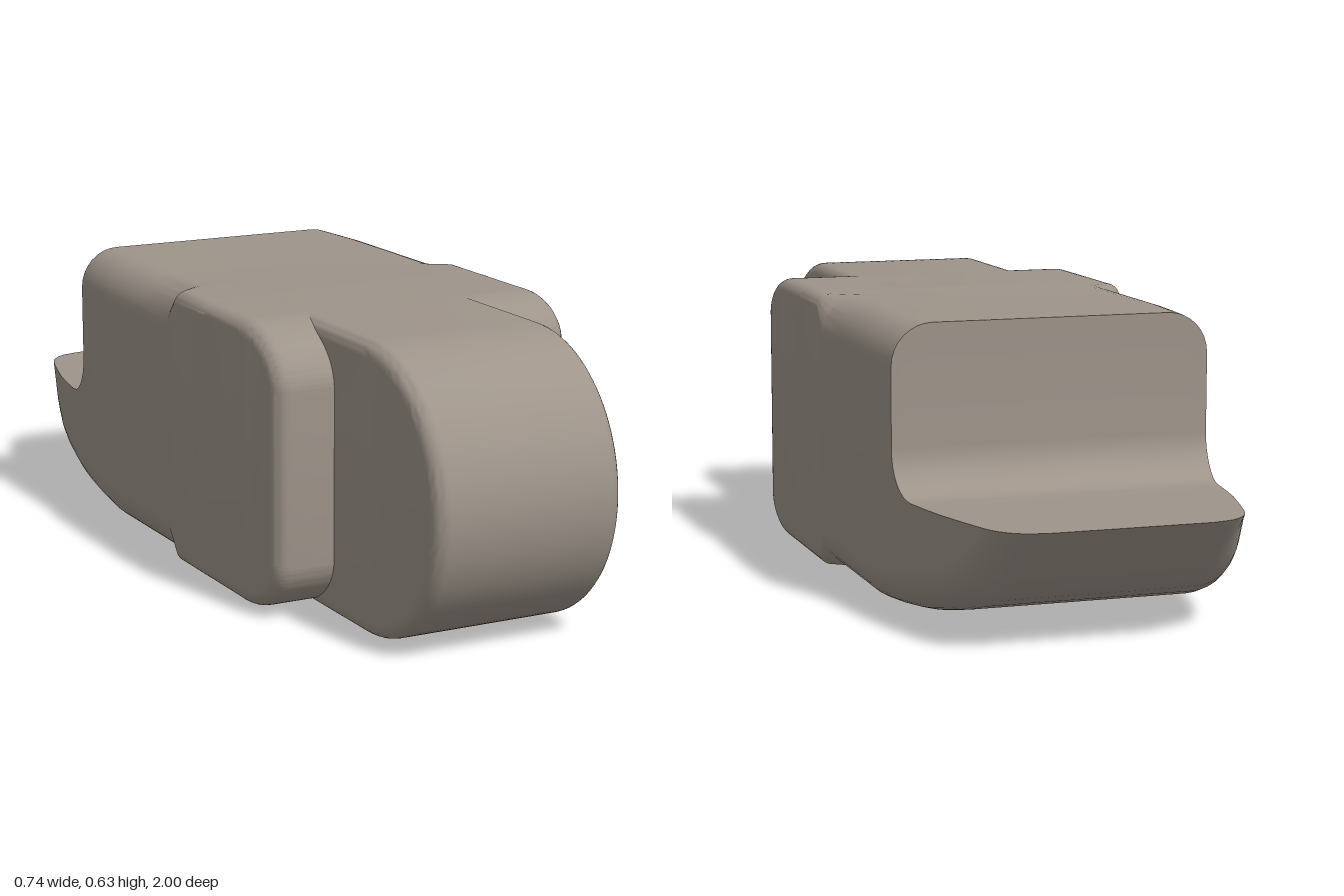
import * as THREE from 'three';
import { toCreasedNormals } from 'three/addons/utils/BufferGeometryUtils.js';

const H = 0.634, HALF_W = 0.372;
const material = new THREE.MeshStandardMaterial({ color: 0x9e948a, side: THREE.DoubleSide });

// Piecewise linear lookup in [z, value] pairs, z descending
function lookup(table, z) {
  if (z >= table[0][0]) return table[0][1];
  for (let i = 1; i < table.length; i++) {
    const [z0, v0] = table[i - 1], [z1, v1] = table[i];
    if (z >= z1) return v0 + (v1 - v0) * (z - z0) / (z1 - z0);
  }
  return table[table.length - 1][1];
}
const KEEL = [[-0.34, 0], [-0.42, 0.006], [-0.5, 0.014], [-0.6, 0.029], [-0.7, 0.051],
  [-0.76, 0.07], [-0.81, 0.092], [-0.845, 0.115], [-1, 0.268]];
const WIDTH = [[-0.36, HALF_W], [-0.45, 0.366], [-0.55, 0.357], [-0.65, 0.344], [-0.75, 0.327],
  [-0.85, 0.301], [-0.92, 0.281], [-1, 0.27]];

// Rounded cross-section, cut off flat at height top
function section(z, top, r) {
  const w = lookup(WIDTH, z), b = lookup(KEEL, z), steps = 8, ring = [];
  const gap = Math.min(1, Math.max(0, (top - b) / r));
  const xMax = w - r + r * Math.sqrt(Math.max(0, 1 - (1 - gap) ** 2));
  const corners = [[w - r, b + r, -0.5], [w - r, H - r, 0], [r - w, H - r, 0.5], [r - w, b + r, 1]];
  for (const [cx, cy, start] of corners) {
    for (let k = 0; k <= steps; k++) {
      const a = (start + 0.5 * k / steps) * Math.PI;
      let x = cx + r * Math.cos(a), y = cy + r * Math.sin(a);
      if (y > top) {
        y = top;
        x = Math.sign(x) * Math.min(Math.abs(x), xMax);
      }
      ring.push([x, y, z]);
    }
  }
  return ring;
}

function loft(rings) {
  const n = rings[0].length, index = [];
  for (let i = 0; i < rings.length - 1; i++) {
    for (let j = 0; j < n; j++) {
      const a = i * n + j, b = i * n + (j + 1) % n, c = a + n, d = b + n;
      index.push(a, c, b, b, c, d);
    }
  }
  const g = new THREE.BufferGeometry();
  g.setAttribute('position', new THREE.Float32BufferAttribute(rings.flat(2), 3));
  g.setIndex(index);
  return toCreasedNormals(g, 0.55);
}

// Extrude a (z, y) profile across x, with softened side edges
function sideExtrude(shape, x0, x1, bevel) {
  const g = new THREE.ExtrudeGeometry(shape, {
    depth: x1 - x0 - 2 * bevel, bevelThickness: bevel, bevelSize: bevel,
    bevelOffset: -bevel, bevelSegments: 6, curveSegments: 24,
  });
  g.rotateY(-Math.PI / 2).translate(x1 - bevel, 0, 0);
  return toCreasedNormals(g, 0.55);
}

// Shoulder profile with elliptical front corners
function shoulderShape(front, rz, ry) {
  const s = new THREE.Shape();
  s.moveTo(0.1, 0);
  s.lineTo(front - rz, 0);
  s.absellipse(front - rz, ry, rz, ry, -Math.PI / 2, 0, false);
  s.lineTo(front, H - ry);
  s.absellipse(front - rz, H - ry, rz, ry, 0, Math.PI / 2, false);
  s.lineTo(0.1, H);
  return s;
}

export function createModel() {
  const group = new THREE.Group();
  const add = (name, geometry) => {
    const mesh = new THREE.Mesh(geometry, material);
    mesh.name = name;
    group.add(mesh);
  };

  // Rear body: edge rounding widens at z = 0, then a step down to the tapered shelf
  const edge = 0.092, bevel = 0.034;
  const rings = [section(0.2, H, bevel), section(0.04, H, bevel)];
  for (const z of [0, -0.17, -0.34, -0.36, -0.45, -0.525]) rings.push(section(z, H, edge));
  for (let k = 0; k <= 8; k++) {
    const a = k / 8 * Math.PI / 2;
    rings.push(section(-0.625 + 0.1 * Math.cos(a), 0.368 - 0.1 * Math.sin(a), edge));
  }
  for (const z of [-0.7, -0.76, -0.81, -0.845, -0.88, -0.9, -0.92, -0.94, -0.955, -0.97, -0.98, -0.99, -1]) {
    rings.push(section(z, 0.268, edge));
  }
  add('rearBodyAndShelf', loft(rings));

  // Front shoulders of unequal length; inner ends are buried in the tongue
  add('leftShoulder', sideExtrude(shoulderShape(0.509, 0.14, 0.095), 0, HALF_W, bevel));
  add('rightShoulder', sideExtrude(shoulderShape(0.557, 0.19, 0.13), -HALF_W, 0, bevel));

  // Central tongue with a half-round nose
  const tongue = new THREE.Shape();
  tongue.moveTo(0.1, 0);
  tongue.lineTo(1 - H / 2, 0);
  tongue.absarc(1 - H / 2, H / 2, H / 2, -Math.PI / 2, Math.PI / 2, false);
  tongue.lineTo(0.1, H);
  add('frontTongue', sideExtrude(tongue, -0.237, 0.202, 0.032));

  return group;
}
